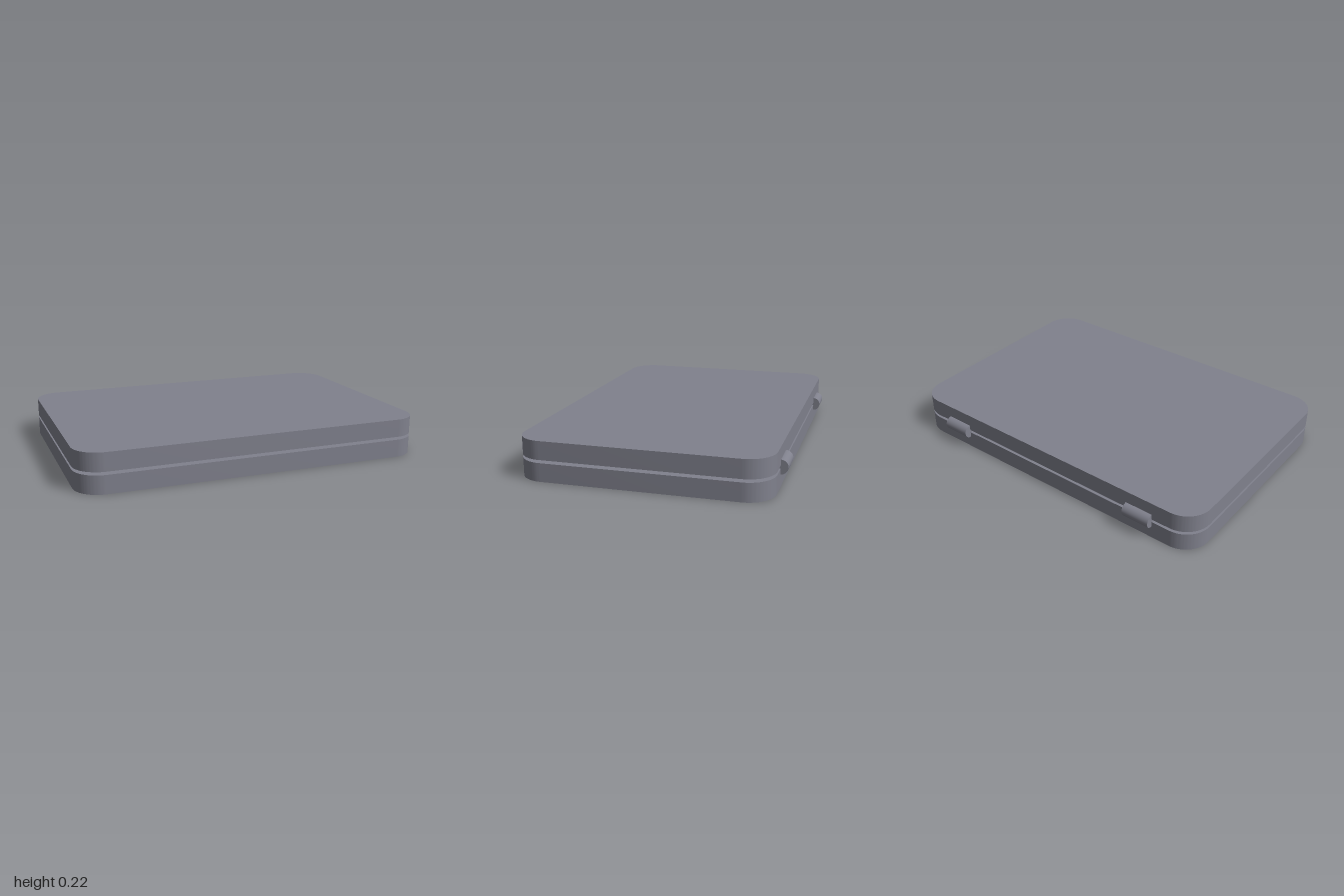
import * as THREE from 'three';
import { toCreasedNormals } from 'three/addons/utils/BufferGeometryUtils.js';

const BACK = -0.665, FRONT = 0.705, RADIUS = 0.15;

// Rounded rectangle outline, centred on the origin
function roundedRect(w, d, r) {
  const x = w / 2, y = d / 2, s = new THREE.Shape();
  s.absarc(x - r, y - r, r, 0, Math.PI / 2);
  s.absarc(-x + r, y - r, r, Math.PI / 2, Math.PI);
  s.absarc(-x + r, -y + r, r, Math.PI, Math.PI * 1.5);
  s.absarc(x - r, -y + r, r, Math.PI * 1.5, Math.PI * 2);
  s.closePath();
  return s;
}

// One half of the case: a flat slab with rounded corners
function makeSlab(name, bottom, top, material) {
  const geo = new THREE.ExtrudeGeometry(roundedRect(2, FRONT - BACK, RADIUS), {
    depth: top - bottom, bevelEnabled: false, curveSegments: 16,
  });
  geo.rotateX(-Math.PI / 2);
  const mesh = new THREE.Mesh(toCreasedNormals(geo, 0.6), material);
  mesh.name = name;
  mesh.position.set(0, bottom, (FRONT + BACK) / 2);
  return mesh;
}

export function createModel() {
  const group = new THREE.Group();
  group.name = 'hingedCase';
  const grey = new THREE.MeshStandardMaterial({ color: 0x80818d });
  grey.name = 'slate grey';

  // Base and lid, with a thin gap between them
  group.add(makeSlab('base', 0, 0.103, grey));
  group.add(makeSlab('lid', 0.12, 0.223, grey));

  // Hinge barrels along the back edge
  const barrel = new THREE.CylinderGeometry(0.04, 0.04, 0.165, 32);
  barrel.rotateZ(Math.PI / 2);
  for (const [name, x] of [['rightHinge', -0.661], ['leftHinge', 0.667]]) {
    const hinge = new THREE.Mesh(barrel, grey);
    hinge.name = name;
    hinge.position.set(x, 0.1115, BACK);
    group.add(hinge);
  }
  return group;
}
